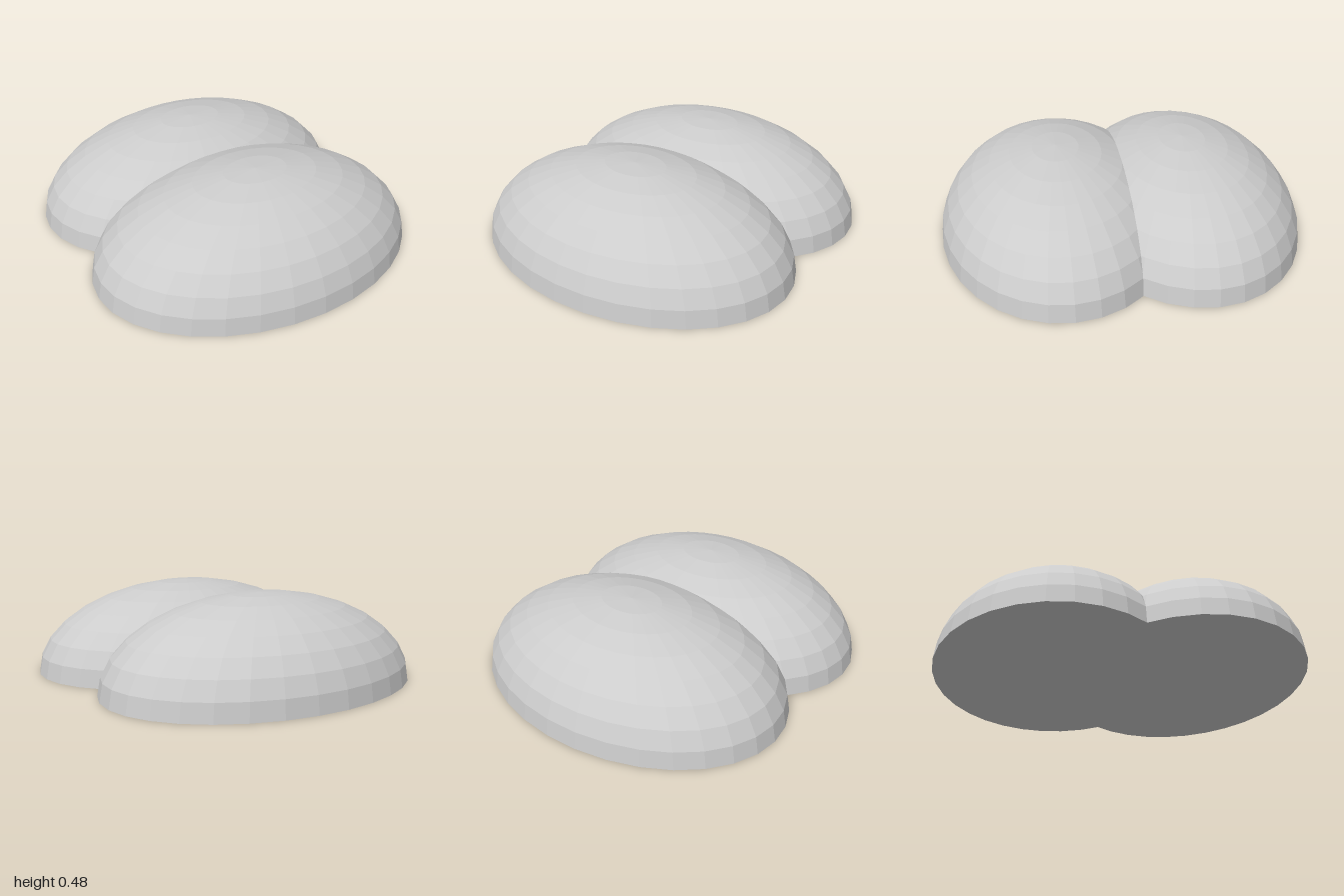
import * as THREE from 'three';
import { mergeGeometries } from 'three/addons/utils/BufferGeometryUtils.js';

const RADII = [0.9, 0.48, 0.65];
const OFFSET = 0.35; // distance of each lobe's centre from the middle seam

// Keeps only the part of a geometry with z >= 0, cutting triangles at the seam.
function clipAtSeam(geometry) {
  const source = geometry.toNonIndexed().attributes.position;
  const positions = [];
  for (let i = 0; i < source.count; i += 3) {
    const corners = [0, 1, 2].map((k) => new THREE.Vector3().fromBufferAttribute(source, i + k));
    const kept = [];
    corners.forEach((a, k) => {
      const b = corners[(k + 1) % 3];
      if (a.z >= 0) kept.push(a);
      if (a.z >= 0 !== b.z >= 0) kept.push(a.clone().lerp(b, a.z / (a.z - b.z)));
    });
    for (let k = 1; k < kept.length - 1; k++) {
      for (const v of [kept[0], kept[k], kept[k + 1]]) positions.push(v.x, v.y, v.z);
    }
  }
  const result = new THREE.BufferGeometry();
  result.setAttribute('position', new THREE.Float32BufferAttribute(positions, 3));
  result.computeVertexNormals();
  return result;
}

export function createModel() {
  const model = new THREE.Group();
  model.name = 'twinDome';
  const material = new THREE.MeshStandardMaterial({ color: 0xcccccc, flatShading: true });

  // Half ellipsoid closed by a flat underside
  const dome = new THREE.SphereGeometry(1, 32, 8, 0, Math.PI * 2, 0, Math.PI / 2);
  const underside = new THREE.CircleGeometry(1, 32).rotateX(Math.PI / 2);
  const lobe = mergeGeometries([dome, underside]).scale(...RADII).translate(0, 0, OFFSET);
  const geometry = clipAtSeam(lobe);

  // Front lobe and its copy turned to the back, meeting at the seam
  ['frontLobe', 'backLobe'].forEach((name, i) => {
    const mesh = new THREE.Mesh(geometry, material);
    mesh.name = name;
    mesh.rotation.y = i * Math.PI;
    model.add(mesh);
  });
  return model;
}
